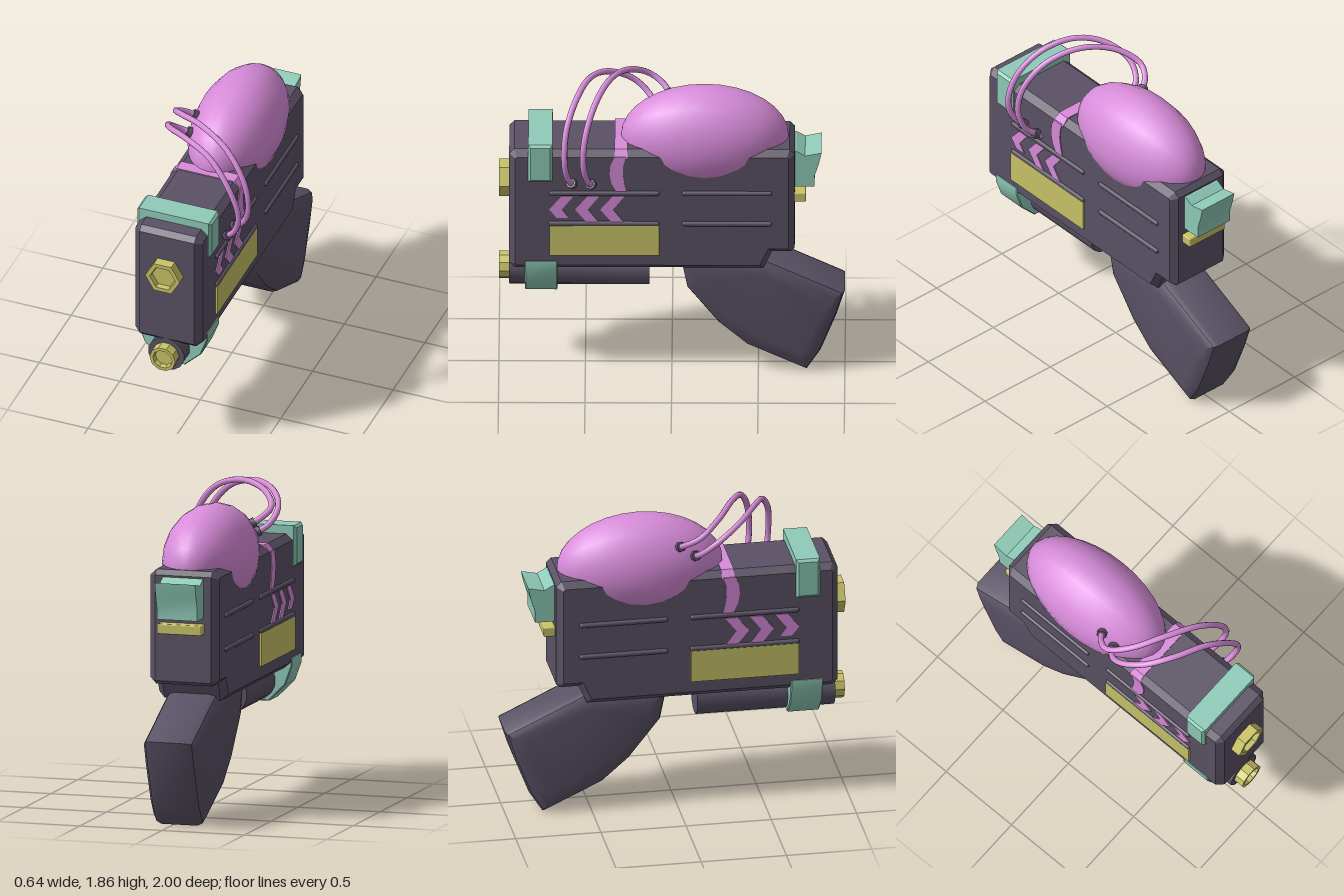
import * as THREE from 'three';
import { toCreasedNormals } from 'three/addons/utils/BufferGeometryUtils.js';
import { RoundedBoxGeometry } from 'three/addons/geometries/RoundedBoxGeometry.js';

const CX = -0.034; // centre line of the body

const paint = (color) => new THREE.MeshStandardMaterial({ color });

export function createModel() {
  const root = new THREE.Group();
  const dark = paint(0x5a5265), pink = paint(0xd88cda), mint = paint(0x8fcbb8), yellow = paint(0xc9c468);

  function add(name, geometry, material, x = 0, y = 0, z = 0) {
    const mesh = new THREE.Mesh(geometry, material);
    mesh.name = name;
    mesh.position.set(x, y, z);
    root.add(mesh);
    return mesh;
  }

  // Extrudes an outline by depth, centred, with an inward bevel
  function slab(points, depth, size = 0, thick = size, segments = 1, crease = 0.5) {
    const shape = new THREE.Shape(points.map(([a, b]) => new THREE.Vector2(a, b)));
    const g = new THREE.ExtrudeGeometry(shape, {
      depth: depth - 2 * thick, bevelEnabled: size > 0, bevelSize: size,
      bevelOffset: -size, bevelThickness: thick, bevelSegments: segments,
    });
    g.translate(0, 0, thick - depth / 2);
    return toCreasedNormals(g, crease);
  }
  // Side outline given as (z, y), extruded across x
  const sideSlab = (...args) => slab(...args).rotateY(-Math.PI / 2);

  // Main body with a stepped lower rear corner
  add('body', sideSlab([
    [0.91, 0.70], [0.94, 0.73], [0.94, 1.45], [0.91, 1.48], [-0.68, 1.48], [-0.71, 1.45],
    [-0.71, 0.83], [-0.69, 0.81], [-0.58, 0.81], [-0.53, 0.70],
  ], 0.42, 0.035, 0.04), dark, CX);

  // Raked grip with broad rounded edges
  add('grip', sideSlab([
    [-0.05, 0.74], [-0.09, 0.54], [-0.27, 0.31], [-0.43, 0.17], [-0.78, 0.005],
    [-0.86, 0.13], [-0.95, 0.36], [-1.0, 0.52], [-0.54, 0.74],
  ], 0.34, 0.09, 0.06, 3, 0.6), dark, CX);

  // Dome, poles along z
  const dome = new THREE.SphereGeometry(1, 20, 16).rotateX(Math.PI / 2).scale(0.253, 0.31, 0.485);
  add('dome', dome, pink, CX, 1.48, -0.19);

  // Lower barrel and its hollow tip
  add('lowerBarrel', toCreasedNormals(new THREE.CylinderGeometry(0.112, 0.112, 0.81, 14).rotateX(Math.PI / 2), 0.6),
    dark, CX - 0.004, 0.62, 0.535);

  // Ring-shaped nozzle with a recessed floor, turned on a lathe
  function nozzle(name, r, inner, sides, y) {
    const profile = [[r, 0], [r, 0.065], [inner, 0.065], [inner * 0.93, 0.035], [0, 0.035]];
    const g = new THREE.LatheGeometry(profile.map(([a, b]) => new THREE.Vector2(a, b)), sides);
    g.rotateX(Math.PI / 2).rotateZ(Math.PI / 2);
    const mesh = add(name, toCreasedNormals(g, 0.3), yellow, CX - 0.004, y, 0.935);
    mesh.material = yellow.clone();
    mesh.material.side = THREE.DoubleSide;
  }
  nozzle('hexMuzzle', 0.108, 0.08, 6, 1.195);
  nozzle('barrelTip', 0.08, 0.06, 10, 0.62);

  // Front saddle on top of the body
  add('frontSaddle', sideSlab([[0.69, 1.29], [0.83, 1.29], [0.83, 1.53], [0.69, 1.53]], 0.462, 0.015), mint, CX, 0, 0);

  // Clamp holding the lower barrel
  add('barrelClamp', slab([
    [-0.215, 0.76], [-0.215, 0.71], [-0.175, 0.6], [-0.075, 0.5],
    [0.075, 0.5], [0.175, 0.6], [0.215, 0.71], [0.215, 0.76],
  ], 0.19, 0.006), mint, CX, 0, 0.755);

  // Rear hammer and the plate under it
  add('hammer', sideSlab([
    [-0.69, 1.44], [-0.72, 1.44], [-0.77, 1.41], [-0.865, 1.43], [-0.85, 1.36],
    [-0.825, 1.28], [-0.825, 1.21], [-0.69, 1.21],
  ], 0.245), mint, CX);
  add('rearPlate', new RoundedBoxGeometry(0.27, 0.06, 0.09, 1, 0.008), yellow, CX + 0.005, 1.145, -0.73);

  // Rails and side panels run through the body and show on both sides
  for (const y of [1.01, 1.21]) {
    add('longRail', new RoundedBoxGeometry(0.45, 0.03, 0.64, 2, 0.014), dark, CX, y, 0.39);
    add('shortRail', new RoundedBoxGeometry(0.45, 0.03, 0.52, 2, 0.014), dark, CX, y, -0.32);
  }
  add('sidePanel', new THREE.BoxGeometry(0.444, 0.195, 0.635), yellow, CX, 0.902, 0.39);

  // Chevrons pointing forward
  [[0.71, 1.05], [0.56, 1.02], [0.415, 1.02]].forEach(([tip, low]) => {
    const back = (1.105 - low) * 0.8;
    add('chevron', sideSlab([
      [tip, 1.105], [tip - 0.07, 1.19], [tip - 0.14, 1.19], [tip - 0.075, 1.105],
      [tip - 0.07 - back, low], [tip - back, low],
    ], 0.432), pink, CX);
  });

  // Curved strap: side bands plus a chamfered band over the top
  add('strapSides', sideSlab([
    [0.335, 1.448], [0.355, 1.4], [0.36, 1.34], [0.35, 1.28], [0.32, 1.22], [0.26, 1.22],
    [0.275, 1.28], [0.283, 1.34], [0.28, 1.4], [0.265, 1.448],
  ], 0.432), pink, CX);
  add('strapTop', slab([
    [-0.216, 1.44], [0.216, 1.44], [0.18, 1.486], [-0.18, 1.486],
  ], 0.075), pink, CX, 0, 0.293);

  // Hoses from the dome over to the left side of the body, with end collars
  const hoses = [
    [[-0.18, 1.63, 0.0], [-0.26, 1.68, 0.04], [-0.3, 1.735, 0.12], [-0.22, 1.81, 0.24], [-0.05, 1.845, 0.35],
      [0.14, 1.785, 0.44], [0.27, 1.63, 0.5], [0.303, 1.47, 0.512], [0.265, 1.34, 0.49], [0.16, 1.25, 0.45]],
    [[-0.18, 1.57, 0.09], [-0.27, 1.62, 0.13], [-0.305, 1.7, 0.22], [-0.24, 1.785, 0.36], [-0.1, 1.823, 0.47],
      [0.08, 1.78, 0.55], [0.22, 1.64, 0.61], [0.283, 1.47, 0.62], [0.25, 1.34, 0.6], [0.16, 1.25, 0.56]],
  ];
  const up = new THREE.Vector3(0, 1, 0);
  for (const points of hoses) {
    const curve = new THREE.CatmullRomCurve3(points.map((p) => new THREE.Vector3(...p)));
    add('hose', new THREE.TubeGeometry(curve, 40, 0.018, 8), pink);
    for (const t of [0.035, 0.96]) {
      const p = curve.getPointAt(t);
      const collar = add('hoseCollar', toCreasedNormals(new THREE.CylinderGeometry(0.03, 0.03, 0.03, 8), 0.9), dark, p.x, p.y, p.z);
      collar.quaternion.setFromUnitVectors(up, curve.getTangentAt(t));
    }
  }
  return root;
}
